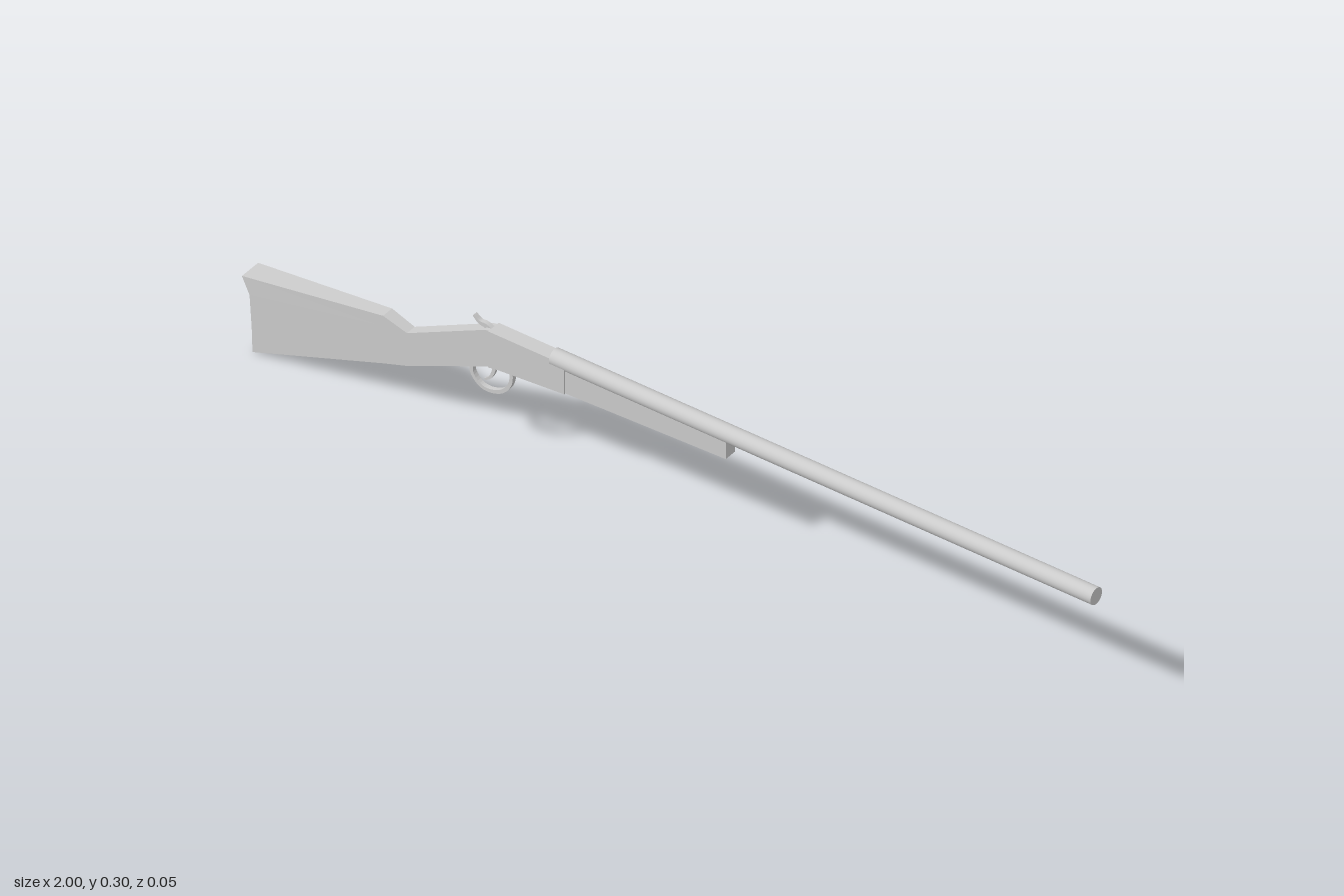
import * as THREE from 'three';

const material = new THREE.MeshStandardMaterial({ color: 0xcccccc, flatShading: true, side: THREE.DoubleSide });
const smooth = new THREE.MeshStandardMaterial({ color: 0xcccccc });
const LEVELS = [0, 0.35, 0.6, 0.78, 1];

// Lofts rectangular sections along x; x may be a list with one value per level.
function loft(name, stations) {
  const n = LEVELS.length * 2;
  const rings = stations.map(({ x, bottom, top, half }) => {
    const side = (sign) => LEVELS.map((f, k) =>
      [Array.isArray(x) ? x[k] : x, bottom + (top - bottom) * f, sign * half]);
    return [...side(-1), ...side(1).reverse()];
  });
  const positions = [];
  const quad = (a, b, c, d) => positions.push(...a, ...b, ...c, ...a, ...c, ...d);
  for (let i = 0; i < rings.length - 1; i++) {
    const p = rings[i], q = rings[i + 1];
    for (let j = 0; j < n; j++) {
      const m = (j + 1) % n;
      quad(p[j], p[m], q[m], q[j]);
    }
  }
  // end caps
  const first = rings[0], last = rings[rings.length - 1];
  for (let k = 0; k < LEVELS.length - 1; k++) {
    quad(last[k], last[k + 1], last[n - 2 - k], last[n - 1 - k]);
    quad(first[n - 1 - k], first[n - 2 - k], first[k + 1], first[k]);
  }
  const geometry = new THREE.BufferGeometry();
  geometry.setAttribute('position', new THREE.Float32BufferAttribute(positions, 3));
  geometry.computeVertexNormals();
  return named(name, geometry, material);
}

function named(name, geometry, mat) {
  const mesh = new THREE.Mesh(geometry, mat);
  mesh.name = name;
  return mesh;
}

// Flat metal strip following a curve in the xy plane, tapering from t0 to t1.
function strip(name, points, t0, t1, width, steps = 16) {
  const curve = new THREE.CatmullRomCurve3(points.map(([x, y]) => new THREE.Vector3(x, y, 0)));
  const left = [], right = [];
  for (let i = 0; i <= steps; i++) {
    const u = i / steps, p = curve.getPoint(u), t = curve.getTangent(u);
    const h = (t0 + (t1 - t0) * u) / 2;
    left.push(new THREE.Vector2(p.x - t.y * h, p.y + t.x * h));
    right.push(new THREE.Vector2(p.x + t.y * h, p.y - t.x * h));
  }
  const shape = new THREE.Shape([...left, ...right.reverse()]);
  const geometry = new THREE.ExtrudeGeometry(shape, { depth: width, bevelEnabled: false });
  geometry.translate(0, 0, -width / 2);
  return named(name, geometry, material);
}

export function createModel() {
  const model = new THREE.Group();
  model.name = 'longGun';

  // shoulder stock with a concave butt and a slim wrist
  model.add(loft('stock', [
    { x: [-0.975, -0.977, -0.98, -0.982, -1], bottom: 0, top: 0.17, half: 0.026 },
    { x: -0.675, bottom: 0.1, top: 0.213, half: 0.0145 },
    { x: -0.62, bottom: 0.117, top: 0.195, half: 0.0125 },
    { x: -0.435, bottom: 0.199, top: 0.286, half: 0.0135 },
    { x: -0.42, bottom: 0.205, top: 0.289, half: 0.0135 },
  ]));

  // receiver
  model.add(loft('receiver', [
    { x: -0.425, bottom: 0.203, top: 0.289, half: 0.017 },
    { x: -0.4, bottom: 0.207, top: 0.289, half: 0.017 },
    { x: -0.245, bottom: 0.219, top: 0.289, half: 0.017 },
  ]));

  // wooden grip under the barrel
  model.add(loft('foreEnd', [
    { x: -0.246, bottom: 0.22, top: 0.28, half: 0.0145 },
    { x: 0.135, bottom: 0.233, top: 0.28, half: 0.0145 },
  ]));

  // barrel
  const barrel = new THREE.CylinderGeometry(0.0185, 0.0185, 1.28, 24);
  barrel.rotateZ(-Math.PI / 2).translate(0.36, 0.2835, 0);
  model.add(named('barrel', barrel, smooth));

  // trigger guard, trigger and hammer
  model.add(strip('triggerGuard', [
    [-0.472, 0.19], [-0.473, 0.165], [-0.455, 0.143], [-0.432, 0.138],
    [-0.4, 0.15], [-0.381, 0.178], [-0.38, 0.212],
  ], 0.008, 0.008, 0.01, 24));
  model.add(strip('trigger', [
    [-0.418, 0.21], [-0.423, 0.185], [-0.431, 0.168], [-0.443, 0.159],
  ], 0.009, 0.004, 0.007));
  model.add(strip('hammer', [
    [-0.425, 0.28], [-0.44, 0.288], [-0.455, 0.29], [-0.469, 0.301],
  ], 0.014, 0.004, 0.01));
  return model;
}
